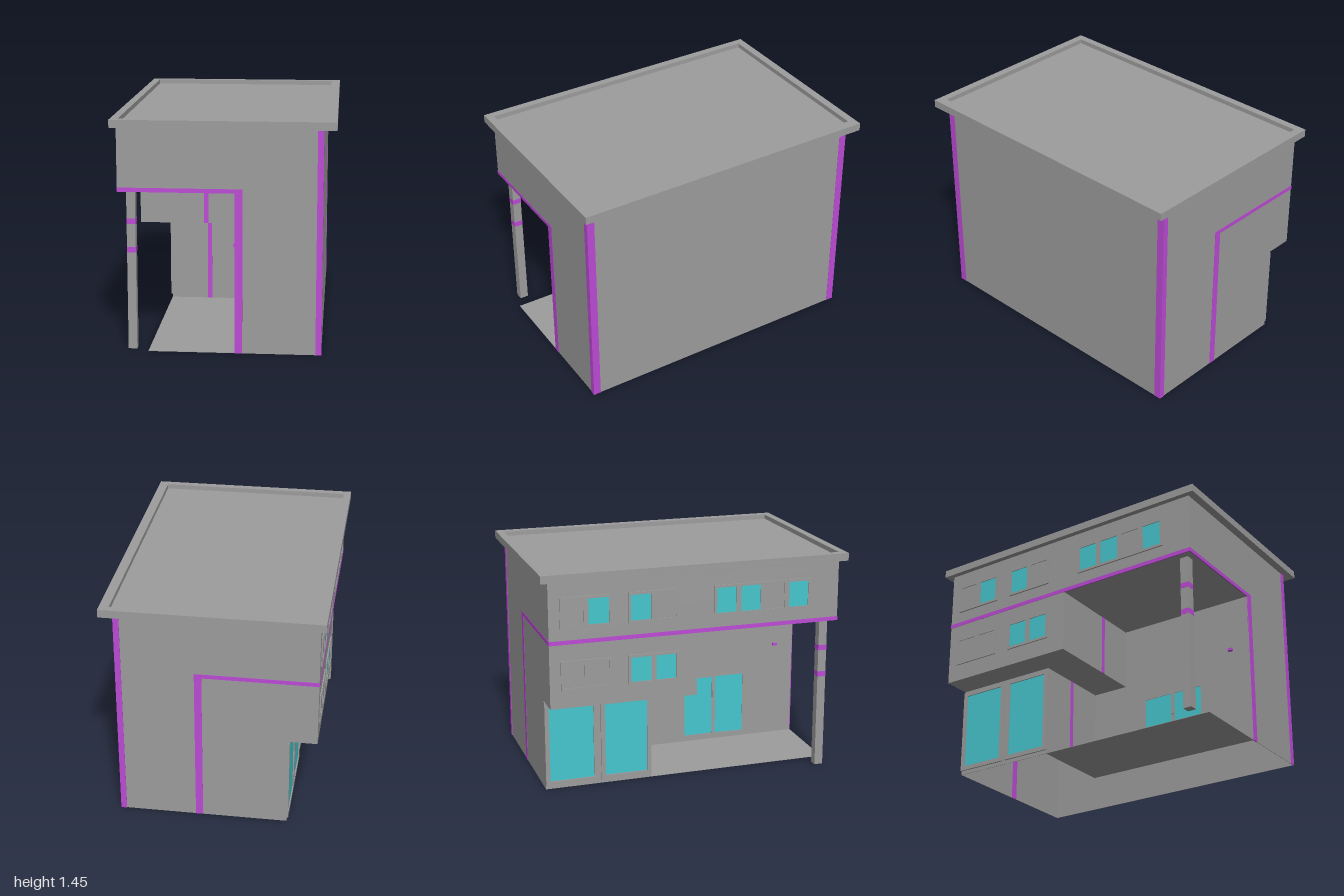
import * as THREE from 'three';

const grey = new THREE.MeshStandardMaterial({ color: 0x9d9d9d, flatShading: true });
const purple = new THREE.MeshStandardMaterial({ color: 0xbd4bd6 });
const teal = new THREE.MeshStandardMaterial({ color: 0x45c7ce });

export function createModel() {
  const house = new THREE.Group();
  house.name = 'house';

  // box given by its lower and upper limits on each axis
  function box(name, [x0, x1], [y0, y1], [z0, z1], material = grey, parent = house) {
    const mesh = new THREE.Mesh(new THREE.BoxGeometry(x1 - x0, y1 - y0, z1 - z0), material);
    mesh.position.set((x0 + x1) / 2, (y0 + y1) / 2, (z0 + z1) / 2);
    mesh.name = name;
    parent.add(mesh);
  }

  function rectangle(Type, [a0, a1], [b0, b1]) {
    const r = new Type();
    r.moveTo(a0, b0);
    r.lineTo(a1, b0);
    r.lineTo(a1, b1);
    r.lineTo(a0, b1);
    r.closePath();
    return r;
  }

  // upright sheet in the z-y plane with holes, thickened from x towards -x
  function sheet(name, x, depth, zs, ys, holes, parent = house) {
    const shape = rectangle(THREE.Shape, zs, ys);
    for (const [hz, hy] of holes) shape.holes.push(rectangle(THREE.Path, hz, hy));
    const mesh = new THREE.Mesh(new THREE.ExtrudeGeometry(shape, { depth, bevelEnabled: false }), grey);
    mesh.rotation.y = -Math.PI / 2;
    mesh.position.x = x;
    mesh.name = name;
    parent.add(mesh);
  }

  // frame with a row of equal panes; panes is a string, t = teal, g = grey
  function glazing(name, x, [z0, z1], [y0, y1], panes, bar = 0.016, depth = 0.008) {
    const group = new THREE.Group();
    group.name = name;
    house.add(group);
    const step = (z1 - z0) / panes.length;
    const holes = [];
    [...panes].forEach((p, i) => {
      const zs = [z0 + i * step + bar, z0 + (i + 1) * step - bar];
      const ys = [y0 + bar, y1 - bar];
      holes.push([zs, ys]);
      box('pane', [x - 0.003, x], ys, zs, p === 't' ? teal : grey, group);
    });
    sheet('frame', x, depth, [z0, z1], [y0, y1], holes, group);
  }

  // storeys
  box('upperStorey', [-0.645, 0.6], [1.005, 1.4], [-0.95, 0.95]);
  box('middleStorey', [-0.645, 0.07], [0.597, 1.005], [-0.95, 0]);

  // thin walls, open underneath
  box('rightWall', [0.597, 0.6], [0, 1.005], [-0.95, 0.95]);
  box('frontWall', [0.07, 0.597], [0, 1.005], [0.947, 0.95]);
  box('backWall', [0.07, 0.597], [0, 1.005], [-0.95, -0.947]);
  box('lowerBackWall', [-0.465, 0.07], [0, 0.597], [-0.95, -0.947]);
  box('innerWall', [-0.465, 0.073], [0, 0.597], [-0.253, -0.25]);

  // carport wall with its sliding door, framed on both faces
  const doorZ = [0.145, 0.595], doorY = [0.03, 0.47], doorHole = [[0.16, 0.58], [0.045, 0.455]];
  sheet('carportWall', 0.073, 0.003, [-0.25, 0.947], [0, 1.005], [doorHole]);
  glazing('slidingDoor', 0.073, doorZ, doorY, 'tt', 0.012, 0.006);
  sheet('innerDoorFrame', 0.08, 0.007, doorZ, doorY, [doorHole]);
  box('doorHandle', [0.058, 0.07], [0.31, 0.36], [0.36, 0.38]);
  box('wallLamp', [0.05, 0.07], [0.643, 0.66], [0.8, 0.83], purple);

  // carport floor and post
  box('carportFloor', [-0.465, 0.07], [0, 0.003], [-0.25, 0.95]);
  box('post', [-0.596, -0.542], [0, 1.005], [0.849, 0.905]);
  for (const y of [0.615, 0.794])
    box('postBand', [-0.597, -0.541], [y, y + 0.035], [0.848, 0.906], purple);

  // glass side of the ground floor
  sheet('glassSurround', -0.462, 0.003, [-0.95, -0.25], [0, 0.597],
    [[[-0.93, -0.62], [0.04, 0.565]], [[-0.57, -0.27], [0.04, 0.565]]]);
  glazing('glassDoorBack', -0.465, [-0.95, -0.605], [0.025, 0.585], 't', 0.028, 0.01);
  glazing('glassDoorFront', -0.465, [-0.585, -0.25], [0.025, 0.585], 't', 0.028, 0.01);

  // side windows
  const upper = [1.105, 1.3], lower = [0.71, 0.9];
  glazing('upperWindowBack', -0.645, [-0.88, -0.555], upper, 'gt');
  glazing('upperWindowMiddle', -0.645, [-0.45, -0.125], upper, 'tg');
  glazing('upperWindowFront', -0.645, [0.11, 0.756], upper, 'ttgt');
  glazing('lowerWindowBack', -0.645, [-0.88, -0.555], lower, 'gg');
  glazing('lowerWindowMiddle', -0.645, [-0.45, -0.125], lower, 'tt');

  // coloured trim on the front and back
  for (const s of [1, -1]) {
    const span = (a, b) => (s > 0 ? [a, b] : [-b, -a]);
    box('cornerTrim', [0.565, 0.602], [0, 1.4], span(0.949, 0.954), purple);
    box('cornerTrimSide', [0.599, 0.602], [0, 1.4], span(0.905, 0.949), purple);
    box('wallTrim', [0.07, 0.116], [0, 1.03], span(0.945, 0.952), purple);
    box('floorBand', [-0.647, 0.07], [1.004, 1.03], span(0.945, 0.952), purple);
  }
  box('sideFloorBand', [-0.647, -0.64], [1.004, 1.03], [-0.945, 0.945], purple);
  box('innerTrimLower', [-0.215, -0.185], [0, 0.597], [-0.255, -0.248], purple);
  box('innerTrimUpper', [-0.215, -0.185], [0.597, 1.005], [-0.005, 0.002], purple);

  // roof slab with a raised rim
  box('roofDeck', [-0.68, 0.68], [1.4, 1.42], [-1, 1]);
  const rim = rectangle(THREE.Shape, [-0.68, 0.68], [-1, 1]);
  rim.holes.push(rectangle(THREE.Path, [-0.632, 0.62], [-0.95, 0.95]));
  const parapet = new THREE.Mesh(new THREE.ExtrudeGeometry(rim, { depth: 0.03, bevelEnabled: false }), grey);
  parapet.rotation.x = -Math.PI / 2;
  parapet.position.y = 1.42;
  parapet.name = 'parapet';
  house.add(parapet);

  return house;
}
